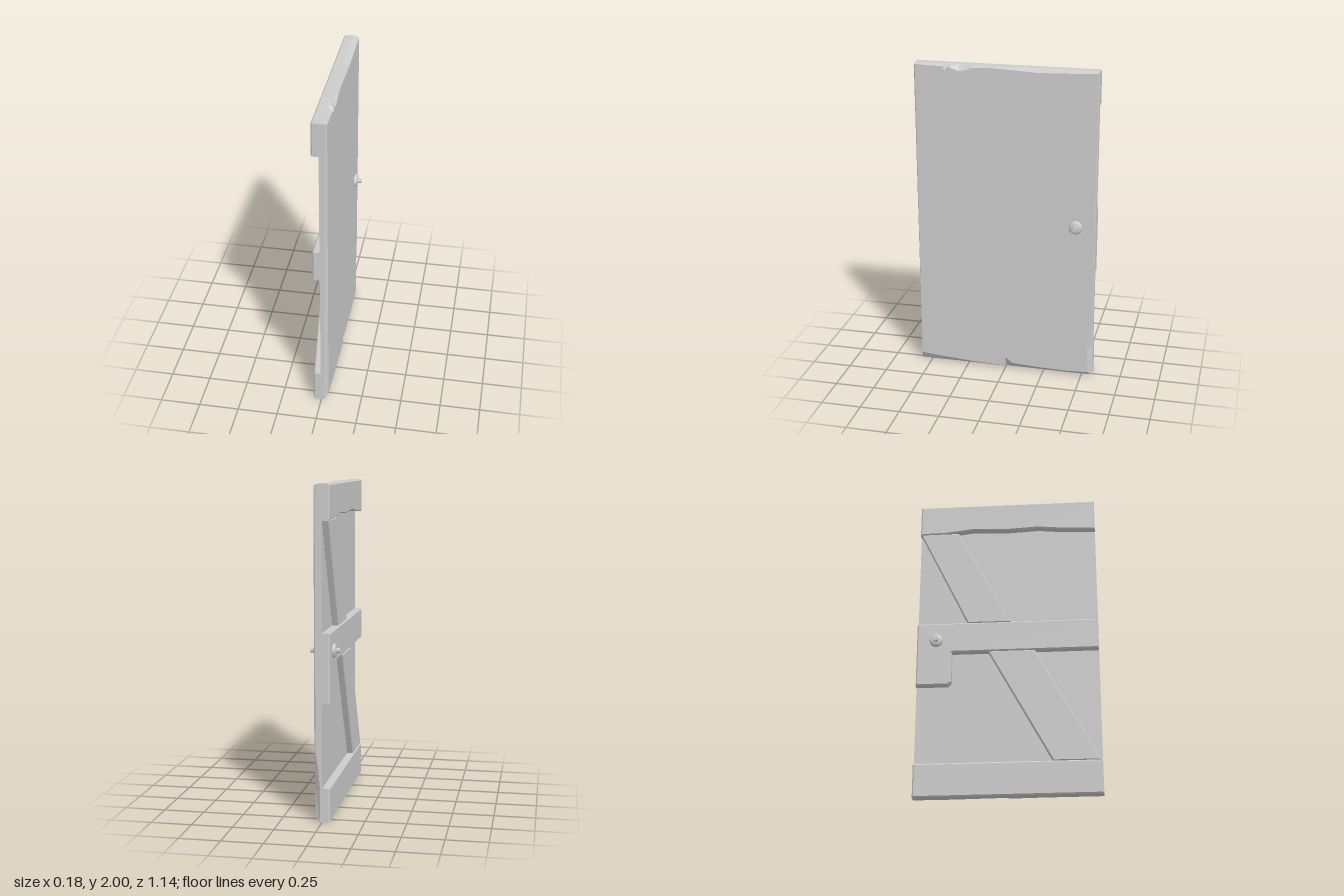
import * as THREE from 'three';

const HALF = 0.57, TOP = 2, FRONT = 0.045;

// Front rim of the slab as [z, y, wear depth]; walks bottom, latch edge, top, hinge edge.
const RIM = [
  [0.563, 0.05, 0.03], [0.4, 0.035, 0.03], [0.2, 0.022, 0.03], [0.005, 0.015, 0.025],
  [0, 0.072, 0.043], [-0.05, 0.038, 0.04], [-0.2, 0.03, 0.035], [-0.4, 0.024, 0.03],
  [-0.545, 0.03, 0.035], [-0.535, 0.2, 0.035], [-0.548, 0.32, 0.025], [-0.564, 0.44, 0.008],
  [-0.564, 1.9, 0.008],
  [-0.562, 1.992, 0.03], [-0.4, 1.984, 0.042], [-0.2, 1.978, 0.043], [-0.07, 1.985, 0.02],
  [0.08, 1.993, 0.007], [0.2, 1.988, 0.012], [0.25, 1.97, 0.03], [0.29, 1.963, 0.035],
  [0.35, 1.985, 0.038], [0.38, 1.962, 0.038], [0.39, 1.988, 0.02], [0.563, 1.993, 0.008],
];

// Slab: back outline, side outline and worn front rim joined by strips, then capped.
function slabGeometry() {
  const n = RIM.length;
  const outer = RIM.map(([z, y]) => [
    Math.abs(z) > 0.52 ? Math.sign(z) * HALF : z,
    y > 1.94 ? TOP : y < 0.1 ? 0 : y,
  ]);
  const loops = [
    outer.map(([z, y]) => [-0.003, y, z]),
    outer.map(([z, y], i) => [FRONT - RIM[i][2], y, z]),
    RIM.map(([z, y]) => [FRONT, y, z]),
  ];
  const index = [];
  for (let k = 0; k < 2; k++) {
    for (let i = 0; i < n; i++) {
      const j = (i + 1) % n, a = k * n, b = a + n;
      index.push(a + i, a + j, b + j, a + i, b + j, b + i);
    }
  }
  const cap = (pts) => THREE.ShapeUtils.triangulateShape(pts.map(([z, y]) => new THREE.Vector2(-z, y)), []);
  cap(RIM).forEach((f) => index.push(...f.map((v) => v + 2 * n)));
  cap([outer[0], outer[8], outer[13], outer[n - 1]])
    .forEach(([a, b, c]) => index.push(...[c, b, a].map((v) => [0, 8, 13, n - 1][v])));
  const g = new THREE.BufferGeometry();
  g.setAttribute('position', new THREE.Float32BufferAttribute(loops.flat(2), 3));
  g.setIndex(index);
  const flat = g.toNonIndexed();
  flat.computeVertexNormals();
  return flat;
}

// Bevelled board with a [z, y] outline, standing out from the slab toward -x.
function boardGeometry(outline, outX, bevel = 0.008) {
  const shape = new THREE.Shape(outline.map(([z, y]) => new THREE.Vector2(z, y)));
  const g = new THREE.ExtrudeGeometry(shape, {
    depth: outX - bevel, bevelEnabled: true, bevelThickness: bevel,
    bevelSize: bevel, bevelOffset: -bevel, bevelSegments: 1,
  });
  g.rotateY(-Math.PI / 2);
  return g;
}

export function createModel() {
  const model = new THREE.Group();
  const grey = new THREE.MeshStandardMaterial({ color: 0xcccccc });
  grey.name = 'plainGrey';
  const add = (name, geometry, parent = model) => {
    const mesh = new THREE.Mesh(geometry, grey);
    mesh.name = name;
    parent.add(mesh);
    return mesh;
  };

  add('doorSlab', slabGeometry());

  // Cross battens; the top one has a worn lower edge
  add('topBatten', boardGeometry([
    [-HALF, 1.79], [-0.4, 1.795], [-0.22, 1.815], [0, 1.805], [0.2, 1.815], [0.35, 1.8],
    [HALF, 1.79], [HALF, TOP], [-HALF, TOP],
  ], 0.048));
  // Middle batten carries the lock block below the knob
  add('middleBatten', boardGeometry([
    [-HALF, 0.72], [-0.37, 0.72], [-0.35, 0.74], [-0.35, 0.94],
    [HALF, 0.94], [HALF, 1.14], [-HALF, 1.14],
  ], 0.048));
  add('bottomBatten', boardGeometry([[-HALF, 0], [HALF, 0], [HALF, 0.21], [-HALF, 0.21]], 0.048));

  // Diagonal braces
  add('upperBrace', boardGeometry([[-0.25, 1.14], [0.02, 1.14], [-0.32, 1.795], [-0.565, 1.795]], 0.045, 0.006));
  add('lowerBrace', boardGeometry([[0.275, 0.21], [0.56, 0.21], [0.17, 0.94], [-0.12, 0.94]], 0.045, 0.006));

  // Knobs on both faces
  const rose = [[0.042, 0], [0.042, 0.01], [0.038, 0.015], [0.03, 0.02], [0.015, 0.022]]
    .map(([r, h]) => new THREE.Vector2(r, h));
  for (const side of [1, -1]) {
    const knob = new THREE.Group();
    knob.name = side > 0 ? 'leftKnob' : 'rightKnob';
    add('knobRose', new THREE.LatheGeometry(rose, 24), knob);
    add('knobStem', new THREE.CylinderGeometry(0.015, 0.015, 0.028, 16), knob).position.y = 0.029;
    knob.rotation.z = -side * Math.PI / 2;
    knob.position.set(side * 0.0455, 1.02, -0.447);
    model.add(knob);
  }
  return model;
}
